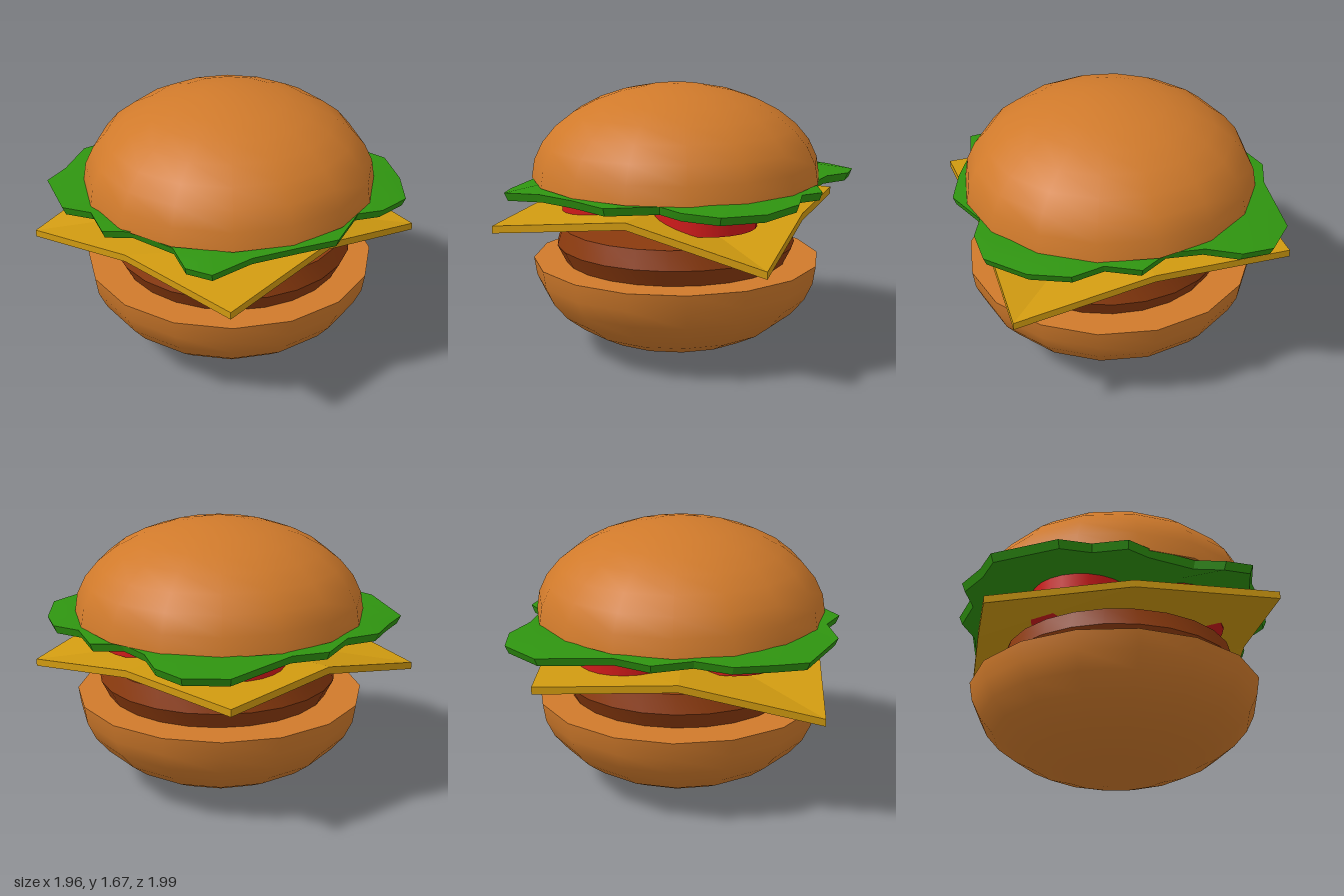
import * as THREE from 'three';
import { toCreasedNormals } from 'three/addons/utils/BufferGeometryUtils.js';

const mat = (color, extra = {}) => new THREE.MeshStandardMaterial({ color, ...extra });

function add(group, name, geometry, material, x = 0, y = 0, z = 0) {
  const mesh = new THREE.Mesh(geometry, material);
  mesh.name = name;
  mesh.position.set(x, y, z);
  group.add(mesh);
  return mesh;
}

// Half ellipsoid, domed upward, closed by a flat underside
function bunGeometry(radius, height) {
  const points = [new THREE.Vector2(0, 0)];
  for (let i = 0; i <= 8; i++) {
    const a = (i / 8) * Math.PI / 2;
    points.push(new THREE.Vector2(i === 8 ? 0 : radius * Math.cos(a), height * Math.sin(a)));
  }
  return toCreasedNormals(new THREE.LatheGeometry(points, 16), 0.8);
}

// Lettuce outline: x, z, height of the upper rim
const LEAF = [
  [-0.84, -0.79, 1.07], [-0.66, -0.99, 1.08], [-0.46, -1.0, 1.09], [-0.27, -0.9, 1.1],
  [-0.05, -0.87, 1.1], [0.13, -0.96, 1.08], [0.33, -0.88, 1.1], [0.53, -0.91, 1.09],
  [0.75, -0.78, 1.07], [0.95, -0.57, 1.08], [0.95, -0.34, 1.09], [0.88, -0.19, 1.1],
  [0.98, 0.11, 1.09], [0.89, 0.34, 1.1], [0.76, 0.6, 1.09], [0.7, 0.86, 1.07],
  [0.53, 0.9, 1.06], [0.36, 0.83, 1.09], [0.08, 0.89, 1.11], [-0.06, 0.99, 1.1],
  [-0.26, 0.9, 1.11], [-0.46, 0.955, 1.09], [-0.83, 0.77, 1.07], [-0.88, 0.58, 1.07],
  [-0.98, 0.34, 1.09], [-0.92, 0.12, 1.1], [-0.98, -0.12, 1.09], [-0.89, -0.34, 1.1],
];

// Rings run from the top centre, over the rim, to the bottom centre
function lettuceGeometry() {
  const rings = [
    (x, z) => [0, 1.1, 0],
    (x, z) => [x * 0.8, 1.105, z * 0.8],
    (x, z, y) => [x, y, z],
    (x, z, y) => [x * 0.98, y - 0.05, z * 0.98],
    (x, z) => [x * 0.8, 1.05, z * 0.8],
    (x, z) => [0, 1.05, 0],
  ];
  const n = LEAF.length, positions = [], index = [];
  rings.forEach((ring) => LEAF.forEach(([x, z, y]) => positions.push(...ring(x, z, y))));
  for (let r = 0; r < rings.length - 1; r++) {
    for (let i = 0; i < n; i++) {
      const j = (i + 1) % n, a = r * n + i, b = r * n + j, c = b + n, d = a + n;
      if (r > 0) index.push(a, b, c);
      if (r < rings.length - 2) index.push(a, c, d);
    }
  }
  // Collapsed rings at the centre only need one triangle per step
  for (let i = 0; i < n; i++) index.push(i, n + (i + 1) % n, n + i);
  const g = new THREE.BufferGeometry();
  g.setAttribute('position', new THREE.Float32BufferAttribute(positions, 3));
  g.setIndex(index);
  return toCreasedNormals(g, 0.5);
}

// Thin square slab with corners and edge midpoints raised or drooping
function cheeseGeometry() {
  const heights = [ // rows back to front, columns -x to +x
    [0.905, 0.91, 0.77],
    [0.93, 0.92, 0.985],
    [0.74, 0.91, 0.9],
  ];
  const g = new THREE.BoxGeometry(1.71, 0.045, 1.68, 2, 1, 2);
  const p = g.attributes.position;
  for (let i = 0; i < p.count; i++) {
    const col = Math.round(p.getX(i) / 0.855) + 1;
    const row = Math.round(p.getZ(i) / 0.84) + 1;
    p.setY(i, heights[row][col] - (p.getY(i) < 0 ? 0.045 : 0));
  }
  return g;
}

export function createModel() {
  const burger = new THREE.Group();
  burger.name = 'burger';
  const bun = mat(0xd07a2b);

  // Two mirrored bun halves
  const half = bunGeometry(0.905, 0.58);
  add(burger, 'topBun', half, bun, 0.01, 1.1, 0);
  add(burger, 'bottomBun', half, bun, 0.01, 0.585, 0).rotation.x = Math.PI;

  // Patty with a bulging side
  const profile = [[0, 0.57], [0.69, 0.57], [0.75, 0.69], [0.715, 0.805], [0, 0.805]]
    .map(([r, y]) => new THREE.Vector2(r, y));
  add(burger, 'patty', toCreasedNormals(new THREE.LatheGeometry(profile, 24), 0.4), mat(0x8b3a0e), 0.03);

  // Bent cheese slice
  add(burger, 'cheese', cheeseGeometry(), mat(0xd09a10, { flatShading: true }), -0.005, 0, 0.03);

  // Four tomato slices
  const tomato = mat(0xd01a1a);
  const slice = new THREE.CylinderGeometry(0.31, 0.31, 0.19, 24);
  [[-0.245, 0.34], [0.325, 0.31], [-0.39, -0.29], [0.325, -0.29]].forEach(([x, z], i) =>
    add(burger, `tomatoSlice${i + 1}`, slice, tomato, x, 0.97, z));

  // Wavy lettuce leaf
  add(burger, 'lettuce', lettuceGeometry(), mat(0x2f9410));
  return burger;
}
